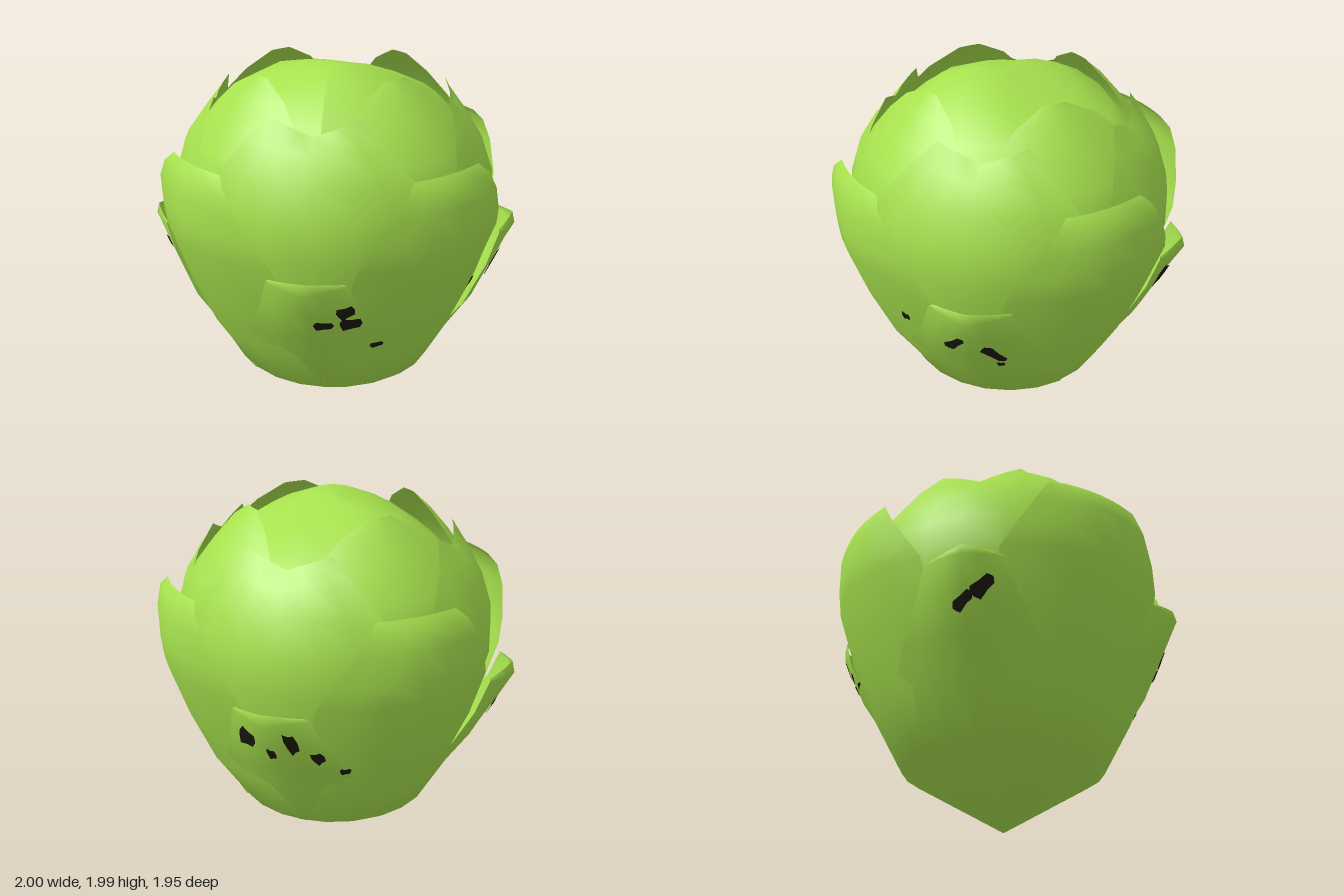
import * as THREE from 'three';

const leafGreen = new THREE.MeshStandardMaterial({ color: 0xa7e14e, side: THREE.DoubleSide });
leafGreen.name = 'leafGreen';
const blemishBlack = new THREE.MeshStandardMaterial({ color: 0x1a180e, side: THREE.DoubleSide });
blemishBlack.name = 'blemishBlack';

// A cupped leaf. Each row is [height, radius, half angle in degrees, edge pull-in, edge lift].
function leafGeometry(rows, azimuth, scale = 1, lean = 0) {
  const cols = 6, pos = [], index = [];
  rows.forEach(([y, r, half, pull = 0, lift = 0], i) => {
    for (let j = 0; j <= cols; j++) {
      const u = (j / cols) * 2 - 1;
      const t = azimuth + THREE.MathUtils.degToRad(half * u + lean * i / rows.length);
      const rad = (r - pull * Math.abs(u)) * scale;
      pos.push(rad * Math.sin(t), y + lift * Math.abs(u), rad * Math.cos(t));
      if (i < rows.length - 1 && j < cols) {
        const a = i * (cols + 1) + j, c = a + cols + 1;
        index.push(a, a + 1, c, a + 1, c + 1, c);
      }
    }
  });
  const g = new THREE.BufferGeometry();
  g.setAttribute('position', new THREE.Float32BufferAttribute(pos, 3));
  g.setIndex(index);
  g.computeVertexNormals();
  return g;
}

// Short outer leaves with a folded, flaring tip
const flaringRows = [
  [0.0, 0.0, 45], [0.33, 0.55, 45], [0.6, 0.7, 38, 0.01], [0.76, 0.81, 26, 0.02],
  [0.95, 0.915, 17, 0.05], [1.09, 0.99, 13, 0.08, 0.02], [1.15, 0.975, 12, 0.07, -0.03],
];
// Broad outer leaves with a blunt top
const broadRows = [
  [0.0, 0.0, 47], [0.32, 0.54, 47], [0.6, 0.72, 44, 0.04], [0.9, 0.85, 36, 0.04],
  [1.18, 0.945, 32, 0.04], [1.3, 0.957, 27, 0.03], [1.45, 0.957, 21, 0.02], [1.55, 0.92, 17],
  [1.6, 0.88, 14],
];
// Middle leaves curling over the heart, with a notched top edge
const middleRows = [
  [0.6, 0.66, 44], [0.9, 0.78, 45], [1.2, 0.86, 44, 0.03], [1.4, 0.855, 42, 0.02],
  [1.58, 0.79, 36], [1.69, 0.71, 28, 0, 0.04], [1.76, 0.63, 20, 0, 0.08],
];
// Inner leaves rising to a point around the crown
const innerRows = [
  [1.2, 0.82, 42], [1.45, 0.82, 42], [1.62, 0.75, 40, 0.02], [1.76, 0.65, 36, 0.03],
  [1.88, 0.55, 26, 0.03], [1.96, 0.45, 8],
];

// Blemishes for front, left, back and right: [sideways, height, width, height, tilt]
const blemishes = [
  [[0.04, 0.88, 0.1, 0.06, 0], [0.15, 0.96, 0.09, 0.08, 0.3], [0.17, 0.88, 0.11, 0.08, 0],
    [0.29, 0.69, 0.07, 0.04, 0.2]],
  [[-0.35, 0.91, 0.05, 0.06, 0], [-0.06, 0.88, 0.17, 0.06, 0.85], [0.13, 0.82, 0.17, 0.07, -1],
    [0.15, 0.7, 0.04, 0.05, 0]],
  [[-0.16, 0.97, 0.1, 0.13, -0.3], [-0.03, 0.9, 0.05, 0.08, 0], [0.08, 0.98, 0.06, 0.14, 0.2],
    [0.19, 0.88, 0.06, 0.08, 0.4], [0.3, 0.78, 0.05, 0.04, 0]],
  [[0.02, 0.89, 0.12, 0.06, 0.6], [0.12, 0.95, 0.14, 0.07, 0.7]],
];

// A thin ragged patch laid onto the leaves by casting each corner inward
function blemishGeometry([s, y, w, h, tilt], azimuth, leaves) {
  const out = new THREE.Vector3(Math.sin(azimuth), 0, Math.cos(azimuth));
  const across = new THREE.Vector3(out.z, 0, -out.x);
  const corners = 9, pos = [], index = [];
  for (let i = 0; i <= corners; i++) {
    const a = (i / corners) * Math.PI * 2;
    const k = i === 0 ? 0 : 0.5 + 0.12 * Math.sin(i * 2.4);
    const px = Math.cos(a) * w * k, py = Math.sin(a) * h * k;
    const origin = out.clone().multiplyScalar(2)
      .addScaledVector(across, s + px * Math.cos(tilt) - py * Math.sin(tilt));
    origin.y = y + px * Math.sin(tilt) + py * Math.cos(tilt);
    const hit = new THREE.Raycaster(origin, out.clone().negate()).intersectObjects(leaves)[0];
    pos.push(...hit.point.addScaledVector(out, 0.009).toArray());
    if (i > 0) index.push(0, i, (i % corners) + 1);
  }
  const g = new THREE.BufferGeometry();
  g.setAttribute('position', new THREE.Float32BufferAttribute(pos, 3));
  g.setIndex(index);
  g.computeVertexNormals();
  return g;
}

export function createModel() {
  const sprout = new THREE.Group();
  sprout.name = 'sprout';
  const add = (geometry, name, material = leafGreen) => {
    const mesh = new THREE.Mesh(geometry, material);
    mesh.name = name;
    sprout.add(mesh);
  };

  // Closed heart with an uneven crown
  const profile = [[0, 0.04], [0.48, 0.33], [0.63, 0.6], [0.75, 0.9], [0.79, 1.2], [0.77, 1.45],
    [0.68, 1.65], [0.54, 1.8], [0.36, 1.91], [0.18, 1.97], [0, 1.98]]
    .map(([r, y]) => new THREE.Vector2(r, y));
  const heart = new THREE.LatheGeometry(profile, 18);
  const p = heart.attributes.position;
  for (let i = 0; i < p.count; i++) {
    const x = p.getX(i), z = p.getZ(i);
    if (p.getY(i) > 1.5) p.setY(i, p.getY(i) + 0.04 * Math.sin(5 * x + 1) * Math.sin(6 * z) - 0.01);
  }
  heart.computeVertexNormals();
  add(heart, 'heart');

  // Four leaves per layer, alternating between the sides and the diagonals
  for (let k = 0; k < 4; k++) {
    const side = k * Math.PI / 2, diagonal = side + Math.PI / 4;
    const wobble = k % 2 ? 3 : -3;
    add(leafGeometry(flaringRows, side, k % 2 ? 1.01 : 0.985, wobble), 'flaringLeaf' + (k + 1));
    add(leafGeometry(broadRows, diagonal), 'broadLeaf' + (k + 1));
    add(leafGeometry(middleRows, side, 1, wobble), 'middleLeaf' + (k + 1));
    add(leafGeometry(innerRows, diagonal, 1, -wobble), 'innerLeaf' + (k + 1));
  }

  // Dark blemishes around the flaring leaves
  const leaves = [...sprout.children];
  blemishes.forEach((list, k) => list.forEach((b, n) =>
    add(blemishGeometry(b, k * Math.PI / 2, leaves), `blemish${k + 1}_${n + 1}`, blemishBlack)));
  return sprout;
}
